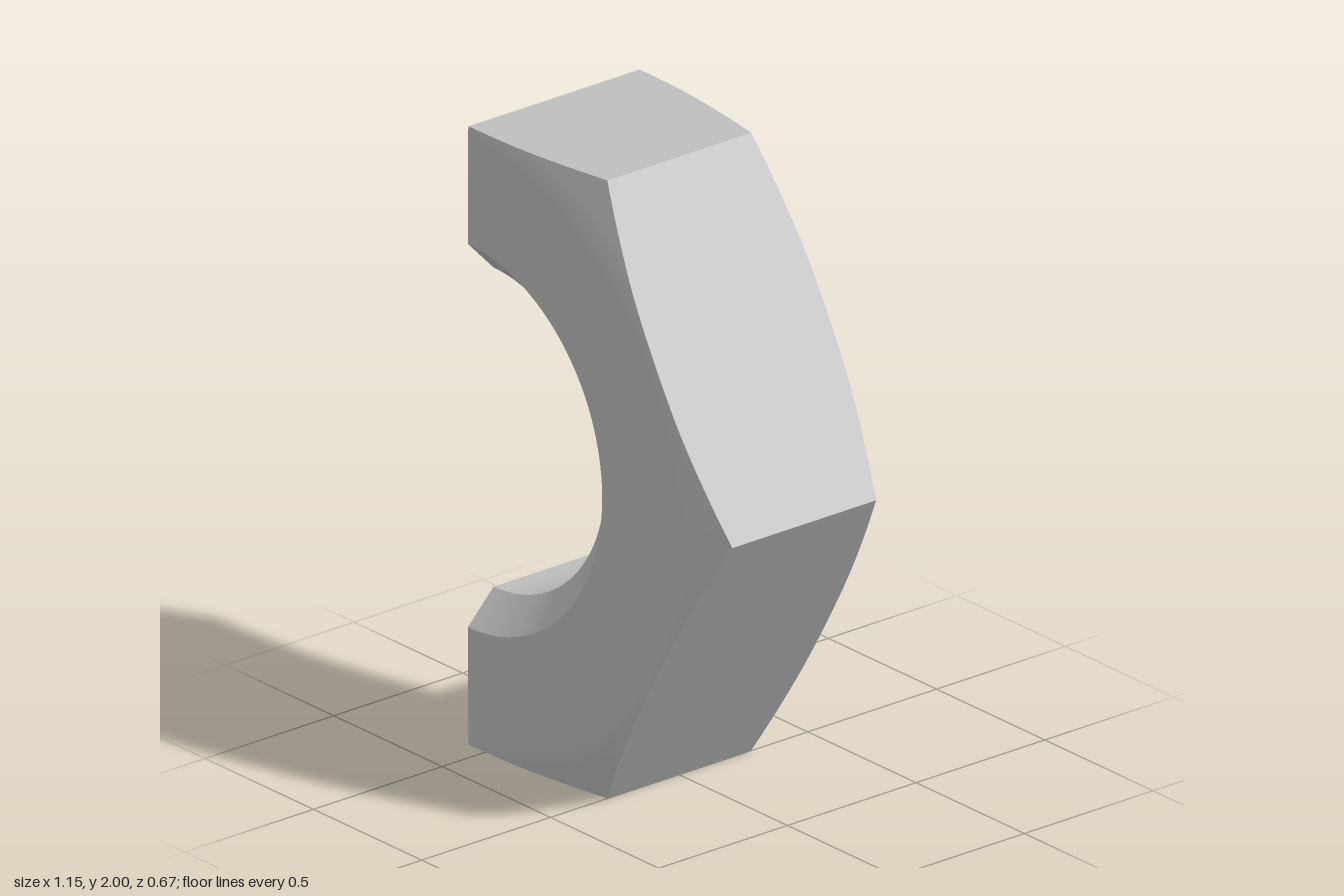
import * as THREE from 'three';

const CUT_X = -0.577;      // plane through the nut axis
const HALF = 0.335;        // half thickness
const BORE = 0.516, BORE_OUT = 0.62, BORE_Z = 0.235;
const RAD = Math.PI / 180;

// Distance from the axis to the hexagon edge (flats at 90, 30, -30, -90 degrees)
function hexRadius(deg) {
  const d = ((deg % 60) + 60) % 60 - 30;
  return 1 / Math.cos(d * RAD);
}

// Softly starting conical chamfer that cuts the hexagon corners
function faceZ(r) {
  const t = Math.max(0, r - 0.97);
  return HALF - (t < 0.06 ? 3 * t * t : 0.36 * (t - 0.03));
}

// Swept strip: profile(deg) gives [radius, z] points, swept from one angle to another
function sweep(from, to, steps, profile) {
  const pos = [], index = [];
  let n = 0;
  for (let i = 0; i <= steps; i++) {
    const deg = from + (to - from) * i / steps;
    const pts = profile(deg);
    n = pts.length;
    for (const [r, z] of pts) {
      pos.push(CUT_X + r * Math.cos(deg * RAD), 1 + r * Math.sin(deg * RAD), z);
    }
  }
  for (let i = 0; i < steps; i++) {
    for (let j = 0; j < n - 1; j++) {
      const a = i * n + j, b = a + 1, c = b + n, d = a + n;
      index.push(a, b, c, a, c, d);
    }
  }
  const g = new THREE.BufferGeometry();
  g.setAttribute('position', new THREE.Float32BufferAttribute(pos, 3));
  g.setIndex(index);
  g.computeVertexNormals();
  return g;
}

export function createModel() {
  const group = new THREE.Group();
  group.name = 'halfHexNut';
  const steel = new THREE.MeshStandardMaterial({ color: 0xbfbfbf, side: THREE.DoubleSide });
  steel.name = 'steel grey';

  const add = (name, geometry) => {
    const mesh = new THREE.Mesh(geometry, steel);
    mesh.name = name;
    group.add(mesh);
  };
  const flip = pts => pts.map(([r, z]) => [r, -z]).reverse();

  // Annular faces, rounded off towards the hexagon corners
  const face = deg => {
    const R = hexRadius(deg);
    const pts = [[BORE_OUT, HALF], [0.8, HALF], [0.93, HALF]];
    for (let k = 1; k <= 8; k++) {
      const r = 0.93 + (R - 0.93) * k / 8;
      pts.push([r, faceZ(r)]);
    }
    return pts;
  };
  add('frontFace', sweep(-90, 90, 72, face));
  add('backFace', sweep(-90, 90, 72, deg => flip(face(deg))));

  // Outer flats: two whole ones and a half at each end of the cut
  const flat = deg => {
    const R = hexRadius(deg), z = faceZ(R);
    return [[R, z], [R, -z]];
  };
  const corners = [-90, -60, 0, 60, 90];
  const names = ['bottomFlat', 'lowerSideFlat', 'upperSideFlat', 'topFlat'];
  names.forEach((name, i) => {
    add(name, sweep(corners[i], corners[i + 1], (corners[i + 1] - corners[i]) / 2.5, flat));
  });

  // Bore and its countersinks; the cut ends stay open
  const sink = [[BORE, BORE_Z], [BORE_OUT, HALF]];
  add('bore', sweep(-90, 90, 72, () => [[BORE, -BORE_Z], [BORE, BORE_Z]]));
  add('frontCountersink', sweep(-90, 90, 72, () => sink));
  add('backCountersink', sweep(-90, 90, 72, () => flip(sink)));

  return group;
}
